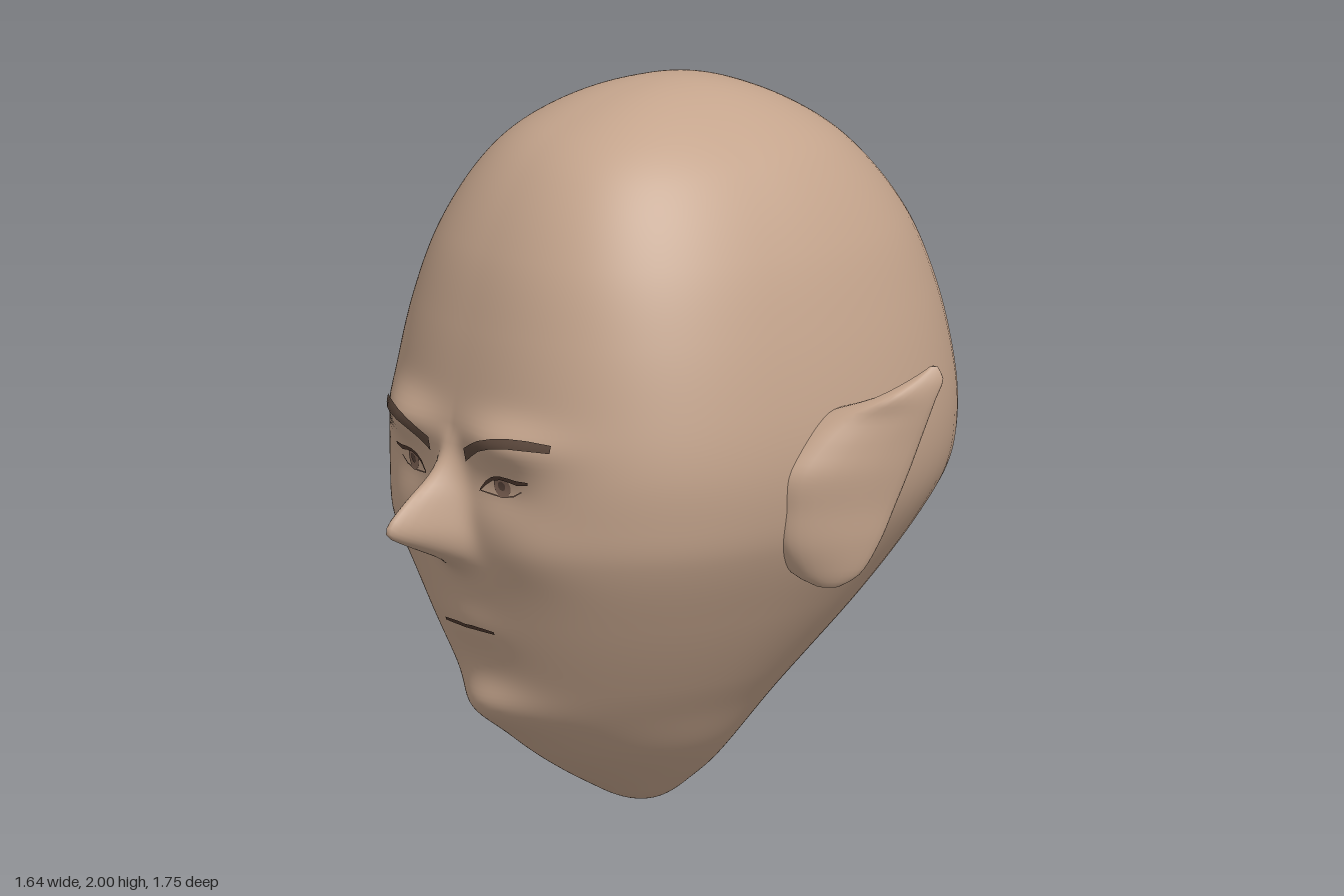
import * as THREE from 'three';

const mat = (name, color) => {
  const m = new THREE.MeshStandardMaterial({ color });
  m.name = name;
  return m;
};

// Smooth interpolation of a table column; the first column is the rising key
function sample(table, key, col) {
  const n = table.length;
  if (key <= table[0][0]) return table[0][col];
  if (key >= table[n - 1][0]) return table[n - 1][col];
  let i = 0;
  while (table[i + 1][0] < key) i++;
  const slope = (k) => {
    const a = table[Math.max(k - 1, 0)], b = table[Math.min(k + 1, n - 1)];
    return (b[col] - a[col]) / (b[0] - a[0]);
  };
  const h = table[i + 1][0] - table[i][0], t = (key - table[i][0]) / h;
  const t2 = t * t, t3 = t2 * t;
  return (2 * t3 - 3 * t2 + 1) * table[i][col] + (t3 - 2 * t2 + t) * h * slope(i)
    + (3 * t2 - 2 * t3) * table[i + 1][col] + (t3 - t2) * h * slope(i + 1);
}

// Skull sections: height, half width, front z, back z, z of the widest point
const polar = (y) => Math.acos(THREE.MathUtils.clamp(1 - y, -1, 1));
const SKULL = [
  [0, 0, 0.0, 0.0, 0.0],
  [0.05, 0.10, 0.16, -0.12, 0.02],
  [0.1, 0.155, 0.25, -0.185, 0.03],
  [0.2, 0.25, 0.395, -0.27, 0.06],
  [0.3, 0.32, 0.49, -0.36, 0.08],
  [0.4, 0.39, 0.54, -0.45, 0.08],
  [0.6, 0.51, 0.605, -0.63, 0.07],
  [0.8, 0.61, 0.65, -0.775, 0.05],
  [0.92, 0.64, 0.66, -0.85, 0.03],
  [1.05, 0.65, 0.66, -0.872, 0.02],
  [1.2, 0.635, 0.645, -0.86, 0.0],
  [1.4, 0.59, 0.61, -0.815, -0.02],
  [1.6, 0.52, 0.55, -0.73, -0.05],
  [1.8, 0.40, 0.43, -0.57, -0.07],
  [1.9, 0.29, 0.31, -0.43, -0.07],
  [2, 0, -0.07, -0.07, -0.07],
].map(([y, ...rest]) => [polar(y), ...rest]);

// Nose: height, projection, half width
const NOSE = [
  [0.69, 0, 0.07], [0.73, 0.01, 0.07], [0.765, 0.05, 0.068], [0.81, 0.14, 0.06],
  [0.85, 0.215, 0.053], [0.875, 0.22, 0.05], [0.9, 0.2, 0.048], [0.95, 0.14, 0.045],
  [1.0, 0.075, 0.042], [1.06, 0.025, 0.04], [1.12, 0, 0.04],
];

const bump = (x, y, cx, cy, sx, sy) => Math.exp(-(((x - cx) / sx) ** 2) - ((y - cy) / sy) ** 2);

// Facial relief added to the front of the skull
function relief(x, y) {
  const ax = Math.abs(x);
  return sample(NOSE, y, 1) * Math.exp(-((x / sample(NOSE, y, 2)) ** 2))
    + 0.045 * bump(ax, y, 0.22, 1.12, 0.15, 0.06)   // brow ridge
    - 0.015 * bump(ax, y, 0.2, 0.98, 0.11, 0.06)    // eye socket
    + 0.015 * bump(ax, y, 0.3, 0.82, 0.14, 0.1)     // cheek
    + 0.012 * bump(x, y, 0, 0.57, 0.13, 0.06)       // lips
    + 0.055 * bump(x, y, 0, 0.33, 0.15, 0.075);     // chin
}

function section(y) {
  const p = polar(y);
  const [w, zf, zb, zc] = [1, 2, 3, 4].map((c) => sample(SKULL, p, c));
  const k = THREE.MathUtils.smoothstep(y, 0.2, 0.9);
  return { w, zf, zb, zc, nf: 2 + 0.4 * k, nb: 2.05 + 0.4 * k };
}

function faceZ(x, y) {
  const { w, zf, zc, nf } = section(y);
  return zc + (zf - zc) * Math.pow(Math.max(0, 1 - Math.pow(Math.abs(x) / w, nf)), 1 / nf) + relief(x, y);
}

// Surface over rows of points; rows run upwards, points counterclockwise from above
function skin(rows, closed) {
  const n = rows[0].length, pos = rows.flat(2), idx = [];
  for (let j = 0; j < rows.length - 1; j++) {
    for (let i = 0; i < (closed ? n : n - 1); i++) {
      const a = j * n + i, b = j * n + ((i + 1) % n);
      idx.push(a, b, a + n, b, b + n, a + n);
    }
  }
  const g = new THREE.BufferGeometry();
  g.setAttribute('position', new THREE.Float32BufferAttribute(pos, 3));
  g.setIndex(idx);
  g.computeVertexNormals();
  return g;
}

function headGeometry() {
  const rows = [], R = 180, S = 160;
  for (let j = 0; j <= R; j++) {
    const y = 1 - Math.cos((Math.PI * j) / R), { w, zf, zb, zc, nf, nb } = section(y), row = [];
    for (let i = 0; i < S; i++) {
      const t = (2 * i) / S - 1, a = Math.PI * (0.4 * t + 0.6 * t ** 3); // finer at the face
      const s = Math.sin(a), c = Math.cos(a), n = c > 0 ? nf : nb;
      const r = Math.pow(Math.abs(s) ** n + Math.abs(c) ** n, -1 / n), x = w * s * r;
      row.push([x, y, c > 0 ? zc + (zf - zc) * c * r + relief(x, y) : zc + (zc - zb) * c * r]);
    }
    rows.push(row);
  }
  return skin(rows, true);
}

// Pointed ear sections: height, front z, back z, inner x, outer x
const EAR = [
  [0.70, -0.10, -0.14, 0.63, 0.68],
  [0.73, -0.06, -0.185, 0.58, 0.71],
  [0.82, -0.01, -0.235, 0.56, 0.738],
  [0.92, 0.0, -0.275, 0.56, 0.755],
  [1.02, 0.0, -0.31, 0.56, 0.775],
  [1.10, -0.06, -0.335, 0.57, 0.79],
  [1.17, -0.14, -0.355, 0.61, 0.805],
  [1.22, -0.225, -0.37, 0.72, 0.815],
  [1.27, -0.315, -0.39, 0.77, 0.82],
  [1.305, -0.365, -0.38, 0.795, 0.808],
];

function earGeometry(side) {
  const rows = [], R = 36;
  for (let j = 0; j <= R; j++) {
    const y = 0.70 + (0.605 * j) / R;
    const [zf, zb, xi, xo] = [1, 2, 3, 4].map((c) => sample(EAR, y, c));
    const d = zf - zb, w = xo - xi;
    const outline = [
      [xi, zf], [xi + 0.45 * w, zf], [xo - 0.1 * w, zb + 0.4 * d],
      [xo, zb], [xo - 0.38 * w, zb + 0.24 * d], [xi, zb + 0.3 * d],
    ].map(([x, z]) => new THREE.Vector3(side * x, y, z));
    if (side < 0) outline.reverse();
    rows.push(new THREE.CatmullRomCurve3(outline, true).getPoints(30).slice(0, -1).map((p) => p.toArray()));
  }
  const cap = (row) => {
    const c = [0, 1, 2].map((k) => row.reduce((s, p) => s + p[k], 0) / row.length);
    return row.map(() => c);
  };
  return skin([cap(rows[0]), ...rows, cap(rows[R])], true);
}

// Thin painted patch on the face; columns are [x, bottom, top]
function patch(cols, side, lift) {
  const list = side > 0 ? cols : [...cols].reverse(), rows = [];
  for (let j = 0; j <= 4; j++) {
    rows.push(list.map(([x, lo, hi]) => {
      const y = lo + ((hi - lo) * j) / 4;
      return [side * x, y, faceZ(x, y) + lift];
    }));
  }
  return skin(rows, false);
}

const disc = (cx, cy, r, top) => Array.from({ length: 13 }, (_, i) => {
  const a = Math.PI * (1 - i / 12), h = r * Math.sin(a);
  return [cx + r * Math.cos(a), cy - h, Math.min(cy + h, top)];
});

const BROW = [
  [0.08, 1.05, 1.088], [0.12, 1.075, 1.108], [0.16, 1.096, 1.126], [0.21, 1.112, 1.14],
  [0.26, 1.12, 1.147], [0.31, 1.12, 1.147], [0.37, 1.118, 1.14],
];
const UPPER_LID = [
  [0.122, 0.974, 0.98], [0.145, 0.995, 1.006], [0.17, 1.011, 1.022], [0.2, 1.018, 1.029],
  [0.23, 1.016, 1.028], [0.26, 1.011, 1.025], [0.297, 1.018, 1.026],
];
const LOWER_LID = [
  [0.125, 0.974, 0.977], [0.16, 0.97, 0.974], [0.2, 0.967, 0.971], [0.24, 0.975, 0.979], [0.27, 0.992, 0.996],
];
const MOUTH = [
  [-0.11, 0.561, 0.569], [-0.07, 0.563, 0.573], [-0.03, 0.564, 0.575], [0, 0.563, 0.573],
  [0.03, 0.564, 0.575], [0.07, 0.563, 0.573], [0.11, 0.561, 0.569],
];

export function createModel() {
  const skinMat = mat('skin', 0xc4a48c);
  const browMat = mat('brow brown', 0x5c483c);
  const irisMat = mat('iris brown', 0x86695a);
  const pupilMat = mat('pupil brown', 0x5a453b);
  const lineMat = mat('dark line', 0x4e392f);

  const group = new THREE.Group();
  group.name = 'head';
  const add = (name, geometry, material) => {
    const m = new THREE.Mesh(geometry, material);
    m.name = name;
    group.add(m);
  };

  add('skullAndFace', headGeometry(), skinMat);
  for (const [side, label] of [[1, 'left'], [-1, 'right']]) {
    add(`${label}Ear`, earGeometry(side), skinMat);
    add(`${label}Eyebrow`, patch(BROW, side, 0.008), browMat);
    add(`${label}Iris`, patch(disc(0.2, 0.998, 0.03, 1.02), side, 0.003), irisMat);
    add(`${label}Pupil`, patch(disc(0.2, 1.0, 0.013, 1.02), side, 0.005), pupilMat);
    add(`${label}UpperLid`, patch(UPPER_LID, side, 0.006), lineMat);
    add(`${label}LowerLid`, patch(LOWER_LID, side, 0.004), irisMat);
  }
  add('mouth', patch(MOUTH, 1, 0.004), lineMat);
  return group;
}
